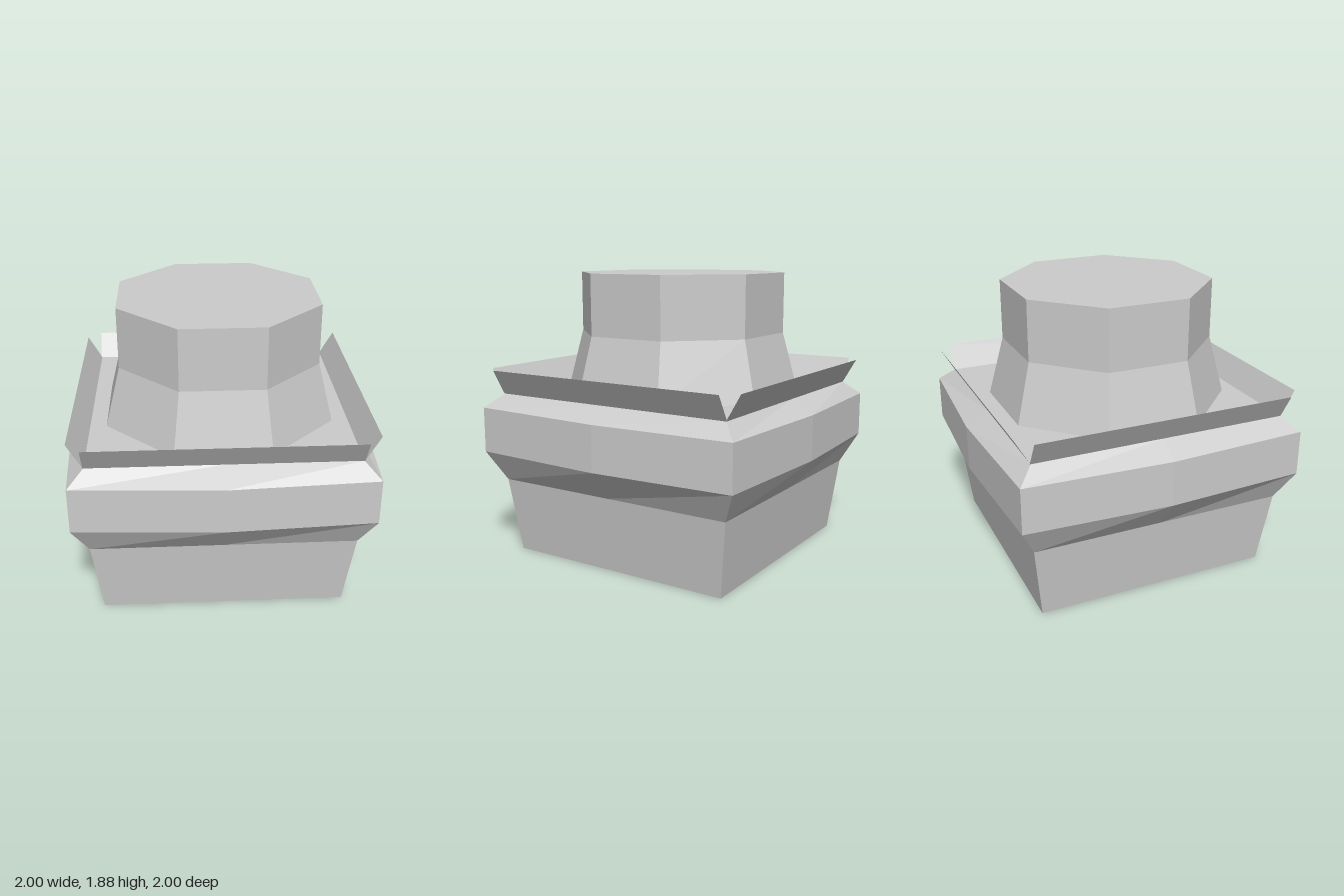
import * as THREE from 'three';

const material = new THREE.MeshStandardMaterial({ color: 0xcccccc, flatShading: true });
const flapMaterial = new THREE.MeshStandardMaterial({ color: 0xcccccc, flatShading: true, side: THREE.DoubleSide });

// Square ring with eight points: corners at half-width c, side middles at m
function ring(y, c, m = c) {
  return [[0, m], [c, c], [m, 0], [c, -c], [0, -m], [-c, -c], [-m, 0], [-c, c]]
    .map(([x, z]) => [x, y, z]);
}

// Skin a stack of rings and close both ends
function loft(rings) {
  const pos = [];
  const tri = (...pts) => pts.forEach((p) => pos.push(...p));
  const n = rings[0].length;
  const low = rings[0], high = rings[rings.length - 1];
  for (let i = 0; i < n; i++) {
    const j = (i + 1) % n;
    for (let r = 0; r < rings.length - 1; r++) {
      const a = rings[r], b = rings[r + 1];
      tri(a[i], a[j], b[j]);
      tri(a[i], b[j], b[i]);
    }
    tri([0, low[0][1], 0], low[j], low[i]);
    tri([0, high[0][1], 0], high[i], high[j]);
  }
  const g = new THREE.BufferGeometry();
  g.setAttribute('position', new THREE.Float32BufferAttribute(pos, 3));
  g.computeVertexNormals();
  return g;
}

// Eight-sided prism section, flats facing the axes, sized by its flat half-widths
function octagon(name, topFlat, bottomFlat, y0, y1) {
  const k = 1 / Math.cos(Math.PI / 8);
  const g = new THREE.CylinderGeometry(topFlat * k, bottomFlat * k, y1 - y0, 8);
  g.rotateY(Math.PI / 8);
  g.translate(0, (y0 + y1) / 2, 0);
  const mesh = new THREE.Mesh(g, material);
  mesh.name = name;
  return mesh;
}

export function createModel() {
  const group = new THREE.Group();
  group.name = 'model';

  // Tapered square base with a bulging band
  const base = new THREE.Mesh(loft([
    ring(0, 0.79),
    ring(0.5, 0.85),
    ring(0.7, 0.95, 1),
    ring(1.0, 0.95, 1),
    ring(1.09, 0.85),
  ]), material);
  base.name = 'base';
  group.add(base);

  // Four thin rim flaps leaning outward, open at the corners
  const y0 = 1.09, y1 = 1.255, inner = 0.85, outer = 0.945;
  const flapLength = Math.hypot(y1 - y0, outer - inner);
  for (let i = 0; i < 4; i++) {
    const g = new THREE.PlaneGeometry(1.71, flapLength);
    g.rotateX(Math.atan2(outer - inner, y1 - y0));
    g.translate(0, (y0 + y1) / 2, (inner + outer) / 2);
    g.rotateY(i * Math.PI / 2);
    const flap = new THREE.Mesh(g, flapMaterial);
    flap.name = ['frontFlap', 'leftFlap', 'backFlap', 'rightFlap'][i];
    group.add(flap);
  }

  // Octagonal neck flaring at its foot
  group.add(octagon('neckFoot', 0.645, 0.743, y0, 1.485));
  group.add(octagon('neck', 0.645, 0.645, 1.485, 1.885));
  return group;
}
